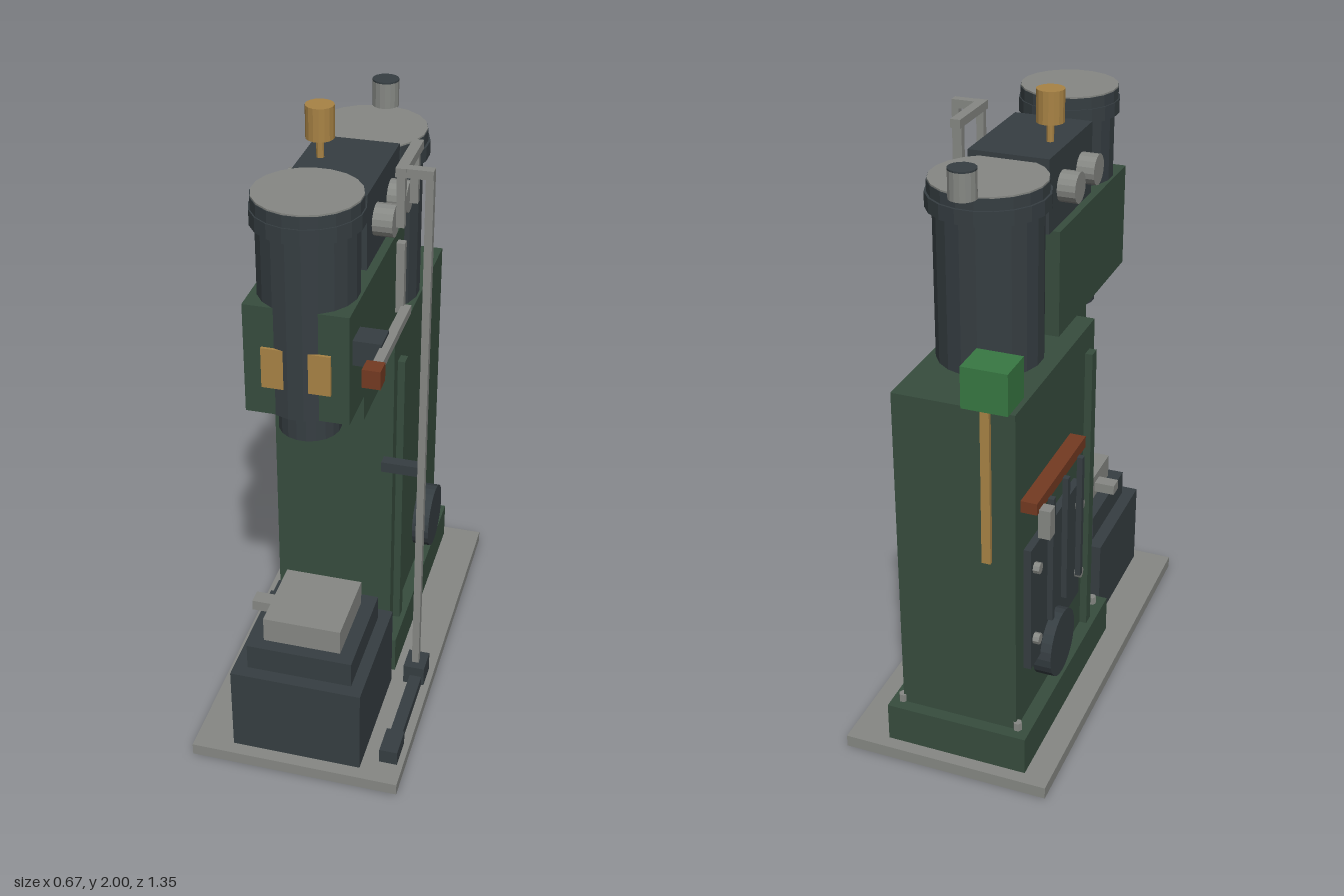
import * as THREE from 'three';

const mat = (name, color, opts = {}) => {
  const m = new THREE.MeshStandardMaterial({ color, ...opts });
  m.name = name;
  return m;
};

export function createModel() {
  const root = new THREE.Group();
  root.name = 'compressor';
  const green = mat('machine green', 0x374d3e, { flatShading: true });
  const dark = mat('dark iron', 0x363e42, { flatShading: true });
  const grey = mat('bare steel', 0x868884, { flatShading: true });
  const brass = mat('brass', 0xa88345, { flatShading: true });
  const red = mat('red brown', 0x743a22, { flatShading: true });
  const bright = mat('bright green', 0x387843, { flatShading: true });

  // Box given by its limits on each axis
  const box = (name, m, x0, x1, y0, y1, z0, z1) => {
    const mesh = new THREE.Mesh(new THREE.BoxGeometry(x1 - x0, y1 - y0, z1 - z0), m);
    mesh.position.set((x0 + x1) / 2, (y0 + y1) / 2, (z0 + z1) / 2);
    mesh.name = name;
    root.add(mesh);
  };
  // Upright cylinder between two heights
  const drum = (name, m, x, z, r, y0, y1, sides = 20) => {
    const g = new THREE.CylinderGeometry(r, r, y1 - y0, sides);
    g.rotateY(Math.PI / sides);
    const mesh = new THREE.Mesh(g, m);
    mesh.position.set(x, (y0 + y1) / 2, z);
    mesh.name = name;
    root.add(mesh);
  };
  // Cylinder lying along x
  const disc = (name, m, x0, x1, y, z, r, sides = 24) => {
    const mesh = new THREE.Mesh(new THREE.CylinderGeometry(r, r, x1 - x0, sides), m);
    mesh.rotation.z = Math.PI / 2;
    mesh.position.set((x0 + x1) / 2, y, z);
    mesh.name = name;
    root.add(mesh);
  };

  // Base tray: thin deck on a rim with one cross rib
  box('baseDeck', grey, -0.337, 0.337, 0.03, 0.04, -0.675, 0.675);
  for (const s of [-1, 1]) {
    box('baseSideRim', grey, s * 0.327 - 0.01, s * 0.327 + 0.01, 0, 0.03, -0.675, 0.675);
    box('baseEndRim', grey, -0.317, 0.317, 0, 0.03, s * 0.665 - 0.01, s * 0.665 + 0.01);
  }
  box('baseRib', grey, -0.317, 0.317, 0, 0.03, 0.07, 0.09);

  // Plinth with corner bolts
  box('plinth', green, -0.255, 0.207, 0.04, 0.17, -0.633, 0.163);
  for (const x of [-0.215, 0.172])
    for (const z of [-0.59, 0.12]) drum('plinthBolt', grey, x, z, 0.014, 0.17, 0.197, 6);

  // Column and its side flanges
  box('column', green, -0.211, 0.168, 0.17, 1.27, -0.594, 0.085);
  box('columnFlange', green, -0.235, 0.191, 0.17, 1.187, 0.0, 0.04);
  disc('rightCover', dark, 0.16, 0.226, 0.34, -0.34, 0.11);
  disc('leftCover', dark, -0.27, -0.205, 0.34, -0.34, 0.11);

  // Control panel, levers and shelf on the column's side
  box('controlPanel', dark, -0.235, -0.205, 0.36, 0.79, -0.53, -0.09);
  for (const y of [0.46, 0.717])
    for (const z of [-0.5, -0.12]) disc('panelBolt', grey, -0.255, -0.234, y, z, 0.018, 8);
  box('controlShelf', red, -0.262, -0.21, 0.935, 0.973, -0.555, -0.13);
  for (const z of [-0.455, -0.33, -0.2])
    box('lever', dark, -0.28, -0.262, 0.51, 0.94, z - 0.01, z + 0.01);
  box('leverHandle', grey, -0.297, -0.26, 0.85, 0.945, -0.54, -0.5);

  // Switch box and conduit at the back
  box('switchBox', bright, -0.195, -0.053, 1.27, 1.4, -0.608, -0.486);
  box('conduit', brass, -0.138, -0.11, 0.77, 1.27, -0.608, -0.59);

  // Rear cylinder with its exhaust stub
  drum('rearCylinder', dark, 0, -0.258, 0.162, 1.26, 1.74);
  drum('rearFlange', dark, 0, -0.258, 0.183, 1.74, 1.785);
  drum('rearHead', dark, 0, -0.258, 0.176, 1.785, 1.82);
  drum('rearCap', grey, 0, -0.258, 0.174, 1.82, 1.825);
  drum('exhaustStub', grey, 0, -0.442, 0.042, 1.822, 1.905, 16);
  drum('exhaustTop', dark, 0, -0.442, 0.042, 1.905, 1.91, 16);

  // Overhanging housing with two brass plates
  box('housing', green, -0.152, 0.152, 1.27, 1.61, -0.08, 0.55);
  box('housingBracket', green, -0.12, 0.12, 1.105, 1.275, 0.08, 0.27);
  for (const s of [-1, 1])
    box('brassPlate', brass, s * 0.065 - 0.035, s * 0.065 + 0.035, 1.36, 1.485, 0.55, 0.559);

  // Front cylinder
  drum('frontCylinder', dark, 0, 0.42, 0.145, 1.268, 1.82);
  drum('frontFlange', dark, 0, 0.42, 0.16, 1.82, 1.865);
  drum('frontHead', dark, 0, 0.42, 0.156, 1.865, 1.9);
  drum('frontCap', grey, 0, 0.42, 0.154, 1.9, 1.905);
  drum('frontNozzle', dark, 0, 0.425, 0.092, 1.17, 1.27);

  // Valve chest, side ports and oil cup
  box('valveChest', dark, -0.128, 0.126, 1.61, 1.84, -0.11, 0.27);
  for (const z of [0, 0.17]) {
    disc('rightPort', grey, 0.12, 0.185, 1.725, z, 0.048, 16);
    disc('leftPort', grey, -0.185, -0.12, 1.725, z, 0.048, 16);
    box('portPipe', grey, 0.187, 0.211, 1.71, 1.872, z - 0.011, z + 0.011);
  }
  drum('oilCupStem', brass, -0.073, 0.045, 0.012, 1.84, 1.9, 10);
  drum('oilCup', brass, -0.073, 0.045, 0.043, 1.9, 2.0, 16);

  // Main pipe from the floor to the ports
  box('portManifold', grey, 0.185, 0.217, 1.868, 1.895, -0.025, 0.192);
  box('pipeTop', grey, 0.185, 0.293, 1.868, 1.895, 0.16, 0.19);
  box('mainPipe', grey, 0.27, 0.293, 0.1, 1.89, 0.16, 0.184);
  box('pipeClamp', dark, 0.15, 0.275, 0.855, 0.89, 0.13, 0.166);
  box('pipeFoot', dark, 0.248, 0.318, 0.04, 0.11, 0.127, 0.212);
  box('floorPipe', dark, 0.27, 0.31, 0.04, 0.075, 0.21, 0.5);
  box('floorPipeEnd', dark, 0.26, 0.318, 0.04, 0.09, 0.49, 0.59);

  // Control arm with its knob
  box('armRiser', grey, 0.212, 0.236, 1.492, 1.71, 0.253, 0.277);
  box('arm', grey, 0.228, 0.256, 1.49, 1.515, 0.265, 0.625);
  box('armKnob', red, 0.217, 0.268, 1.475, 1.53, 0.617, 0.67);
  box('armBracket', dark, 0.145, 0.234, 1.448, 1.525, 0.44, 0.522);

  // Motor block in steps
  box('motorBase', dark, -0.211, 0.207, 0.04, 0.337, 0.212, 0.633);
  box('motorStep', dark, -0.168, 0.168, 0.337, 0.424, 0.255, 0.591);
  box('motorTop', grey, -0.125, 0.122, 0.424, 0.508, 0.296, 0.55);
  box('motorStub', grey, -0.196, -0.12, 0.445, 0.48, 0.395, 0.443);
  return root;
}
